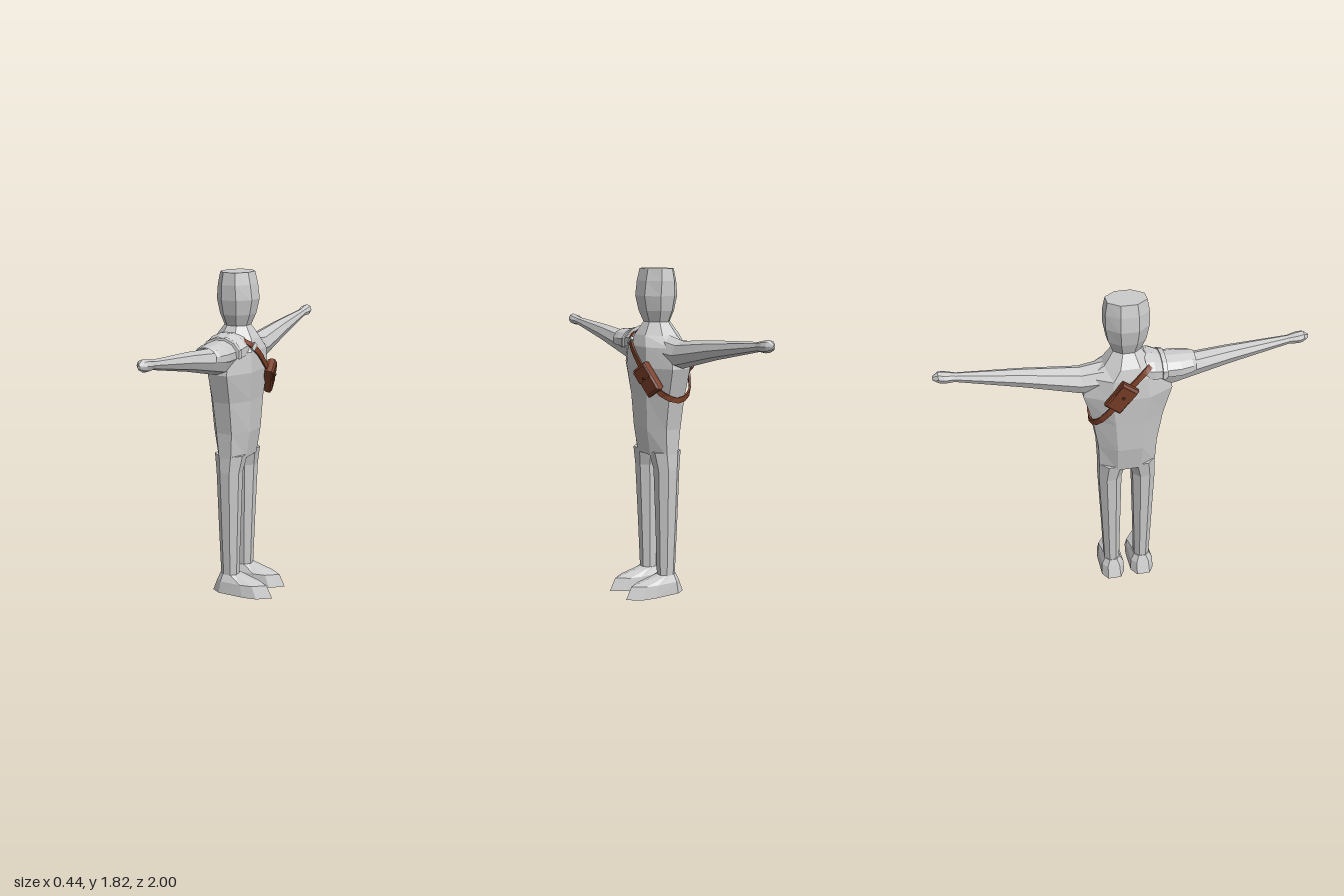
import * as THREE from 'three';

const V = (x, y, z) => new THREE.Vector3(x, y, z);
const grey = new THREE.MeshStandardMaterial({ color: 0xcccccc, flatShading: true });
const shell = new THREE.MeshStandardMaterial({ color: 0xcccccc, flatShading: true, side: THREE.DoubleSide });
const leather = new THREE.MeshStandardMaterial({ color: 0x7a3f28, flatShading: true });
const darkLeather = new THREE.MeshStandardMaterial({ color: 0x5c2e1c, flatShading: true });

// Skin a list of point rings; closed solids are turned outward by their signed volume
function loft(rings, { open = false, loop = false } = {}) {
  const n = rings[0].length, pts = rings.flat(), idx = [];
  const spans = loop ? rings.length : rings.length - 1;
  for (let r = 0; r < spans; r++) {
    const a = r * n, b = ((r + 1) % rings.length) * n;
    for (let i = 0; i < (open ? n - 1 : n); i++) {
      const j = (i + 1) % n;
      idx.push(a + i, a + j, b + j, a + i, b + j, b + i);
    }
  }
  if (!open && !loop) {
    const top = (rings.length - 1) * n;
    for (let i = 1; i < n - 1; i++) idx.push(0, i + 1, i, top, top + i, top + i + 1);
  }
  let volume = 0;
  for (let i = 0; i < idx.length; i += 3) {
    volume += pts[idx[i]].dot(pts[idx[i + 1]].clone().cross(pts[idx[i + 2]]));
  }
  if (volume < 0) idx.reverse();
  const g = new THREE.BufferGeometry().setFromPoints(pts);
  g.setIndex(idx);
  g.computeVertexNormals();
  return g;
}

function add(parent, name, geometry, material = grey) {
  const m = new THREE.Mesh(geometry, material);
  m.name = name;
  parent.add(m);
  return m;
}

// Horizontal octagon with flat sides: height, back x, front x, centre z, half depth
function octagon([y, x0, x1, cz, hz]) {
  const ring = [], k = 1 / Math.cos(Math.PI / 8);
  for (let i = 0; i < 8; i++) {
    const a = (i + 0.5) * Math.PI / 4;
    ring.push(V((x0 + x1) / 2 + Math.cos(a) * k * (x1 - x0) / 2, y, cz + Math.sin(a) * k * hz));
  }
  return ring;
}

// Vertical ring across the arm, from angle a0 to a1
function armRing([z, cy, hx, hy], s = 1, a0 = 0, a1 = Math.PI * 2, steps = 8, closed = true) {
  const ring = [];
  for (let i = 0; i < (closed ? steps : steps + 1); i++) {
    const a = a0 + (a1 - a0) * i / steps;
    ring.push(V(-0.047 + Math.cos(a) * hx, cy + Math.sin(a) * hy, s * z));
  }
  return ring;
}

// Symmetric sole outline from [x, half width] pairs, heel to toe
function footRing(y, cz, profile) {
  const left = profile.map(([x, w]) => V(x, y, cz + w));
  const right = profile.slice(0, -1).reverse().map(([x, w]) => V(x, y, cz - w));
  return [...left, ...right];
}

// Bevelled pouch with a flap and a stud, facing its own +z
function pouch(name, w, h, d) {
  const g = new THREE.Group();
  g.name = name;
  const ring = (z, k) => [[-1, -1], [1, -1], [1, 1], [-1, 1]].map(([x, y]) => V(x * w * k / 2, y * h * k / 2, z));
  add(g, 'pouchBody', loft([ring(-d / 2, 0.9), ring(-d * 0.1, 1), ring(d * 0.3, 1), ring(d / 2, 0.84)]), leather);
  add(g, 'pouchFlap', new THREE.BoxGeometry(w * 0.9, h * 0.4, 0.008), leather).position.set(0, h * 0.22, d / 2);
  const stud = add(g, 'pouchStud', new THREE.CylinderGeometry(0.008, 0.008, 0.01, 6), darkLeather);
  stud.rotation.x = Math.PI / 2;
  stud.position.set(0, h * 0.08, d / 2 + 0.005);
  g.rotation.order = 'YXZ';
  return g;
}

export function createModel() {
  const model = new THREE.Group();
  model.name = 'figure';

  // Head
  add(model, 'head', loft([
    [1.52, -0.105, 0.02, 0, 0.07], [1.59, -0.13, 0.048, 0, 0.1], [1.67, -0.145, 0.065, 0, 0.115],
    [1.75, -0.138, 0.055, 0, 0.115], [1.815, -0.125, 0.04, 0, 0.103],
  ].map(octagon)));

  // Torso
  add(model, 'torso', loft([
    [0.8, -0.13, 0.04, 0, 0.157], [0.95, -0.157, 0.064, 0, 0.163], [1.13, -0.168, 0.073, 0, 0.193],
    [1.29, -0.18, 0.09, 0, 0.24], [1.4, -0.17, 0.085, 0, 0.22], [1.46, -0.155, 0.065, 0, 0.125],
    [1.535, -0.105, 0.02, 0, 0.07],
  ].map(octagon)));

  for (const s of [1, -1]) {
    const side = s > 0 ? 'left' : 'right';
    // Arm with a small faceted hand
    add(model, side + 'Arm', loft([
      [0.06, 1.385, 0.1, 0.085], [0.25, 1.368, 0.076, 0.074], [0.55, 1.42, 0.054, 0.05],
      [0.89, 1.468, 0.026, 0.024],
    ].map(r => armRing(r, s))));
    add(model, side + 'Hand', loft([
      [0.88, 1.468, 0.025, 0.023], [0.94, 1.474, 0.037, 0.031], [0.97, 1.478, 0.031, 0.03],
      [1.0, 1.476, 0.006, 0.012],
    ].map(r => armRing(r, s))));

    // Leg
    add(model, side + 'Leg', loft([
      [0.09, -0.097, 0, s * 0.09, 0.043], [0.4, -0.107, 0.01, s * 0.093, 0.053],
      [0.72, -0.115, 0.022, s * 0.096, 0.064], [0.82, -0.13, 0.04, s * 0.08, 0.077],
    ].map(octagon)));

    // Foot with a pointed toe
    const cz = s * 0.088;
    add(model, side + 'Foot', loft([
      footRing(0, cz, [[-0.14, 0.038], [-0.09, 0.068], [0.06, 0.068], [0.14, 0.055], [0.215, 0]]),
      footRing(0.07, cz, [[-0.115, 0.035], [-0.08, 0.065], [0.04, 0.062], [0.11, 0.05], [0.18, 0]]),
      footRing(0.11, cz, [[-0.1, 0.022], [-0.075, 0.045], [-0.025, 0.045], [-0.005, 0.025], [0.005, 0]]),
    ]));
  }

  // Layered half-shell guards over the left shoulder
  const guard = (name, rows) => add(model, name,
    loft(rows.map(r => armRing(r, 1, -0.25, Math.PI + 0.25, 7, false)), { open: true }), shell);
  guard('innerShoulderGuard', [[0.085, 1.415, 0.12, 0.085], [0.13, 1.41, 0.122, 0.093], [0.18, 1.4, 0.108, 0.08]]);
  guard('shoulderGuardRim', [[0.172, 1.4, 0.104, 0.078], [0.175, 1.4, 0.117, 0.088], [0.2, 1.4, 0.115, 0.085],
    [0.203, 1.4, 0.1, 0.07]]);
  guard('outerShoulderGuard', [[0.2, 1.398, 0.1, 0.076], [0.28, 1.398, 0.099, 0.074], [0.345, 1.4, 0.082, 0.066],
    [0.365, 1.402, 0.068, 0.058]]);

  // Strap looping over the left shoulder and under the right arm
  const path = new THREE.CatmullRomCurve3([
    V(-0.05, 1.475, 0.14), V(0.055, 1.455, 0.1), V(0.094, 1.4, 0.04), V(0.1, 1.33, -0.03), V(0.096, 1.25, -0.11),
    V(0.055, 1.165, -0.18), V(-0.05, 1.115, -0.203), V(-0.14, 1.15, -0.175), V(-0.186, 1.25, -0.1),
    V(-0.187, 1.33, -0.04), V(-0.174, 1.42, 0.05), V(-0.14, 1.46, 0.11),
  ], true);
  const bands = [];
  for (let i = 0; i < 28; i++) {
    const p = path.getPoint(i / 28), t = path.getTangent(i / 28);
    const out = V(p.x + 0.047, Math.max(0, p.y - 1.42) * 3, p.z * 0.4);
    out.addScaledVector(t, -out.dot(t)).normalize();
    const across = t.clone().cross(out);
    bands.push([[-1, -1], [1, -1], [1, 1], [-1, 1]].map(([u, v]) =>
      p.clone().addScaledVector(across, u * 0.015).addScaledVector(out, v * 0.005)));
  }
  add(model, 'strap', loft(bands, { loop: true }), leather);

  // Strap buckle on the chest
  const buckle = add(model, 'buckle', new THREE.BoxGeometry(0.016, 0.022, 0.045));
  buckle.position.set(0.085, 1.425, 0.065);
  buckle.rotation.set(0.7, 0, 0.4);

  // Chest and back pouches
  const chest = pouch('chestPouch', 0.1, 0.17, 0.05);
  chest.position.set(0.092, 1.232, -0.125);
  chest.rotation.set(0.15, Math.PI / 2 + 0.3, 0.59);
  const back = pouch('backPouch', 0.1, 0.17, 0.045);
  back.position.set(-0.189, 1.32, -0.055);
  back.rotation.set(0.07, -Math.PI / 2 - 0.1, -0.62);
  model.add(chest, back);

  return model;
}
